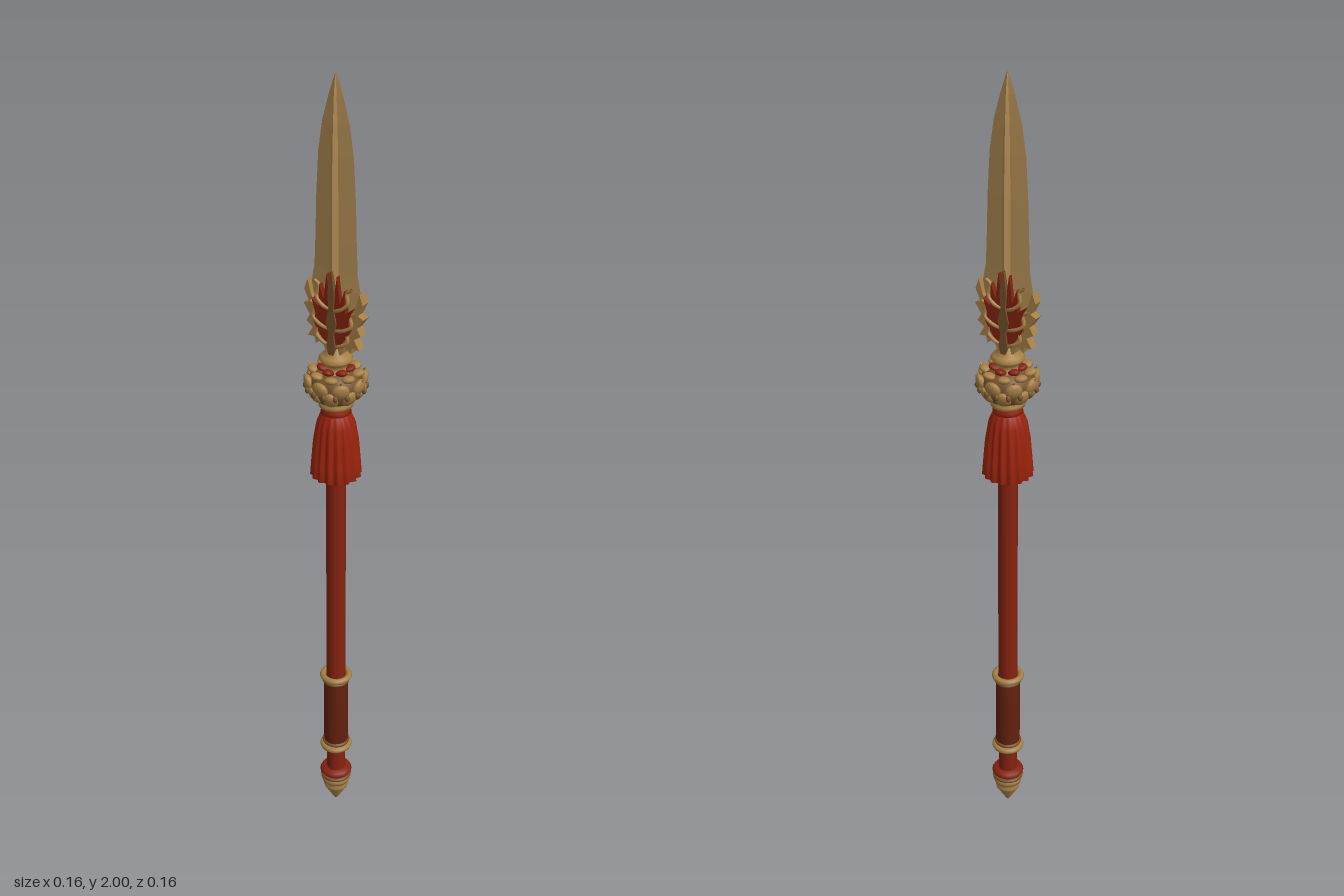
import * as THREE from 'three';

const mat = (name, color) => {
  const m = new THREE.MeshStandardMaterial({ color, side: THREE.DoubleSide });
  m.name = name;
  return m;
};

export function createModel() {
  const steel = mat('blade bronze', 0xb28c54);
  const gold = mat('aged gold', 0xa67f45);
  const darkGold = mat('dark gold', 0x74502a);
  const red = mat('tassel red', 0x9a230c);
  const lacquer = mat('lacquer red', 0x84220f);
  const leather = mat('grip brown', 0x64200f);

  const model = new THREE.Group();
  model.name = 'spear';
  const add = (name, geo, material, parent = model) => {
    const mesh = new THREE.Mesh(geo, material);
    mesh.name = name;
    parent.add(mesh);
    return mesh;
  };
  // Turned part from [radius, height] pairs, bottom to top
  const turned = (name, pts, material, sides = 24) =>
    add(name, new THREE.LatheGeometry(pts.map(p => new THREE.Vector2(...p)), sides), material);
  const ring = (name, y, radius, tube, material) =>
    add(name, new THREE.TorusGeometry(radius, tube, 8, 28).rotateX(Math.PI / 2).translate(0, y, 0), material);

  // Shaft, grip and their rings
  turned('shaft', [[0.024, 0.08], [0.024, 1.2]], lacquer);
  turned('grip', [[0.024, 0.2], [0.031, 0.205], [0.031, 0.415], [0.024, 0.42]], leather);
  for (const y of [0.195, 0.422]) {
    ring('gripRing', y, 0.033, 0.008, gold);
    ring('gripRingTrim', y + (y < 0.3 ? 0.014 : -0.014), 0.03, 0.005, darkGold);
  }

  // Butt cap with a pointed finial
  turned('buttCap', [[0, 0], [0.006, 0.008], [0.024, 0.04], [0.024, 0.045], [0.03, 0.05],
    [0.032, 0.06], [0.026, 0.067], [0.036, 0.073], [0.039, 0.083], [0.034, 0.092]], gold);
  turned('buttBand', [[0.034, 0.09], [0.031, 0.098], [0.038, 0.102], [0.041, 0.108],
    [0.037, 0.115], [0.024, 0.118]], lacquer);
  ring('buttRing', 0.093, 0.035, 0.005, darkGold);

  // Tassel skirt with radial folds
  const skirt = new THREE.LatheGeometry([[0.024, 1.04], [0.05, 1.025], [0.058, 1.028], [0.055, 1.07],
    [0.051, 1.12], [0.045, 1.165], [0.036, 1.19], [0.026, 1.2]].map(p => new THREE.Vector2(...p)), 96);
  const sp = skirt.attributes.position;
  for (let i = 0; i < sp.count; i++) {
    const x = sp.getX(i), y = sp.getY(i), z = sp.getZ(i), r = Math.hypot(x, z);
    if (r < 0.03) continue;
    const k = 1 + 0.06 * Math.sin(16 * Math.atan2(z, x)) * Math.min(1, (1.2 - y) / 0.06);
    sp.setXYZ(i, x * k, y, z * k);
  }
  skirt.computeVertexNormals();
  add('tassel', skirt, red);

  // Collar between tassel and guard
  turned('collarBand', [[0.026, 1.19], [0.036, 1.195], [0.034, 1.205], [0.031, 1.212], [0.036, 1.216]], red);
  turned('collar', [[0.03, 1.208], [0.04, 1.213], [0.041, 1.222], [0.034, 1.23], [0.038, 1.238]], gold);

  // Lotus shaped guard
  turned('guardCore', [[0.032, 1.226], [0.05, 1.235], [0.062, 1.255], [0.064, 1.28],
    [0.055, 1.297], [0.036, 1.306]], darkGold);
  const petal = new THREE.SphereGeometry(1, 10, 8);
  const spike = new THREE.ConeGeometry(0.008, 0.026, 6);
  const petalRow = (name, count, y, radius, size, tilt, offset, material) => {
    for (let i = 0; i < count; i++) {
      const pivot = new THREE.Group();
      pivot.name = name;
      pivot.rotation.y = (i + offset) / count * Math.PI * 2;
      const m = add(name, petal, material, pivot);
      m.position.set(radius, y, 0);
      m.scale.set(...size);
      m.rotation.z = tilt;
      model.add(pivot);
    }
  };
  petalRow('lowerPetal', 8, 1.253, 0.056, [0.011, 0.024, 0.019], -0.55, 0.5, gold);
  petalRow('outerPetal', 8, 1.278, 0.063, [0.011, 0.021, 0.021], -0.3, 0, gold);
  petalRow('petalBead', 16, 1.264, 0.07, [0.006, 0.008, 0.006], 0, 0.5, darkGold);
  petalRow('upperPetal', 8, 1.3, 0.051, [0.016, 0.009, 0.016], 0.3, 0.5, gold);
  petalRow('innerPetal', 6, 1.308, 0.03, [0.015, 0.008, 0.014], 0.3, 0, lacquer);
  for (let i = 0; i < 8; i++) {
    const a = i * Math.PI / 4, r = i % 2 ? 0.062 : 0.071;
    const s = add('guardSpike', spike, i % 2 ? darkGold : gold);
    s.position.set(Math.cos(a) * r, 1.293, Math.sin(a) * r);
    s.rotation.set(0, -a, -0.55, 'YXZ');
  }
  turned('socket', [[0.036, 1.3], [0.026, 1.31], [0.024, 1.32], [0.036, 1.328], [0.04, 1.335],
    [0.034, 1.343], [0.02, 1.35], [0.014, 1.375], [0, 1.385]], gold);

  // Blade: ridged cross-sections of [height, half width, half thickness]
  const rows = [[1.35, 0.014, 0.014], [1.42, 0.036, 0.017], [1.48, 0.06, 0.017], [1.51, 0.066, 0.017],
    [1.55, 0.058, 0.016], [1.62, 0.055, 0.0155], [1.72, 0.052, 0.015], [1.82, 0.046, 0.0135],
    [1.89, 0.035, 0.011], [1.95, 0.018, 0.008], [1.985, 0.006, 0.004], [2, 0.0005, 0.0005]];
  const section = (y, w, t) => [[0, 1], [0.4, 0.18], [0.5, 0], [0.4, -0.18], [0, -1],
    [-0.4, -0.18], [-0.5, 0], [-0.4, 0.18]].map(([u, v]) => {
    const shoulder = Math.abs(u) === 0.4;
    return [u === 0 ? v * t : v * t * 2.3, y, (shoulder ? u * 0.5 : u * 2) * w];
  });
  const pos = [];
  for (let i = 0; i < rows.length - 1; i++) {
    const lo = section(...rows[i]), hi = section(...rows[i + 1]);
    for (let j = 0; j < 8; j++) {
      const k = (j + 1) % 8;
      pos.push(...lo[j], ...hi[j], ...lo[k], ...lo[k], ...hi[j], ...hi[k]);
    }
  }
  const blade = new THREE.BufferGeometry();
  blade.setAttribute('position', new THREE.Float32BufferAttribute(pos, 3));
  blade.computeVertexNormals();
  add('blade', blade, steel);

  // Flame ornament plates in the plane of the blade, mirrored left and right
  const plate = (name, half, depth, material) => {
    const outline = [...half, ...half.slice().reverse().map(([z, y]) => [-z, y])];
    const shape = new THREE.Shape(outline.map(p => new THREE.Vector2(...p)));
    const geo = new THREE.ExtrudeGeometry(shape, { depth, bevelEnabled: false });
    add(name, geo.translate(0, 0, -depth / 2).rotateY(-Math.PI / 2), material);
  };
  plate('flameEdge', [[0.008, 1.34], [0.022, 1.352], [0.03, 1.375], [0.048, 1.362], [0.052, 1.378],
    [0.07, 1.376], [0.056, 1.4], [0.074, 1.412], [0.064, 1.43], [0.081, 1.455], [0.066, 1.462],
    [0.079, 1.49], [0.07, 1.515], [0.06, 1.48], [0.044, 1.455], [0.02, 1.44], [0.004, 1.43]], 0.022, gold);
  plate('flameCore', [[0.006, 1.36], [0.02, 1.375], [0.034, 1.395], [0.05, 1.42], [0.044, 1.44],
    [0.055, 1.475], [0.036, 1.46], [0.034, 1.515], [0.022, 1.48], [0.014, 1.545], [0.006, 1.49]], 0.034, lacquer);
  plate('flameSpine', [[0.005, 1.345], [0.012, 1.37], [0.007, 1.4], [0.014, 1.43], [0.006, 1.465],
    [0.009, 1.5], [0.002, 1.555]], 0.042, darkGold);

  // Curled tongues on each face of the flame
  for (const sx of [-1, 1]) for (const sz of [-1, 1]) {
    [[1.37, 0.05, 1], [1.41, 0.062, 1.1], [1.46, 0.05, 1.2]].forEach(([y, reach, s]) => {
      const path = new THREE.CatmullRomCurve3([[0.014, 0, 0.008], [0.019, 0.008, reach * 0.5],
        [0.016, 0.022 * s, reach * 0.85], [0.012, 0.042 * s, reach * 0.75], [0.012, 0.05 * s, reach]]
        .map(([x, dy, z]) => new THREE.Vector3(sx * x, y + dy, sz * z)));
      add('flameCurl', new THREE.TubeGeometry(path, 14, 0.0045, 6), gold);
    });
  }
  return model;
}
